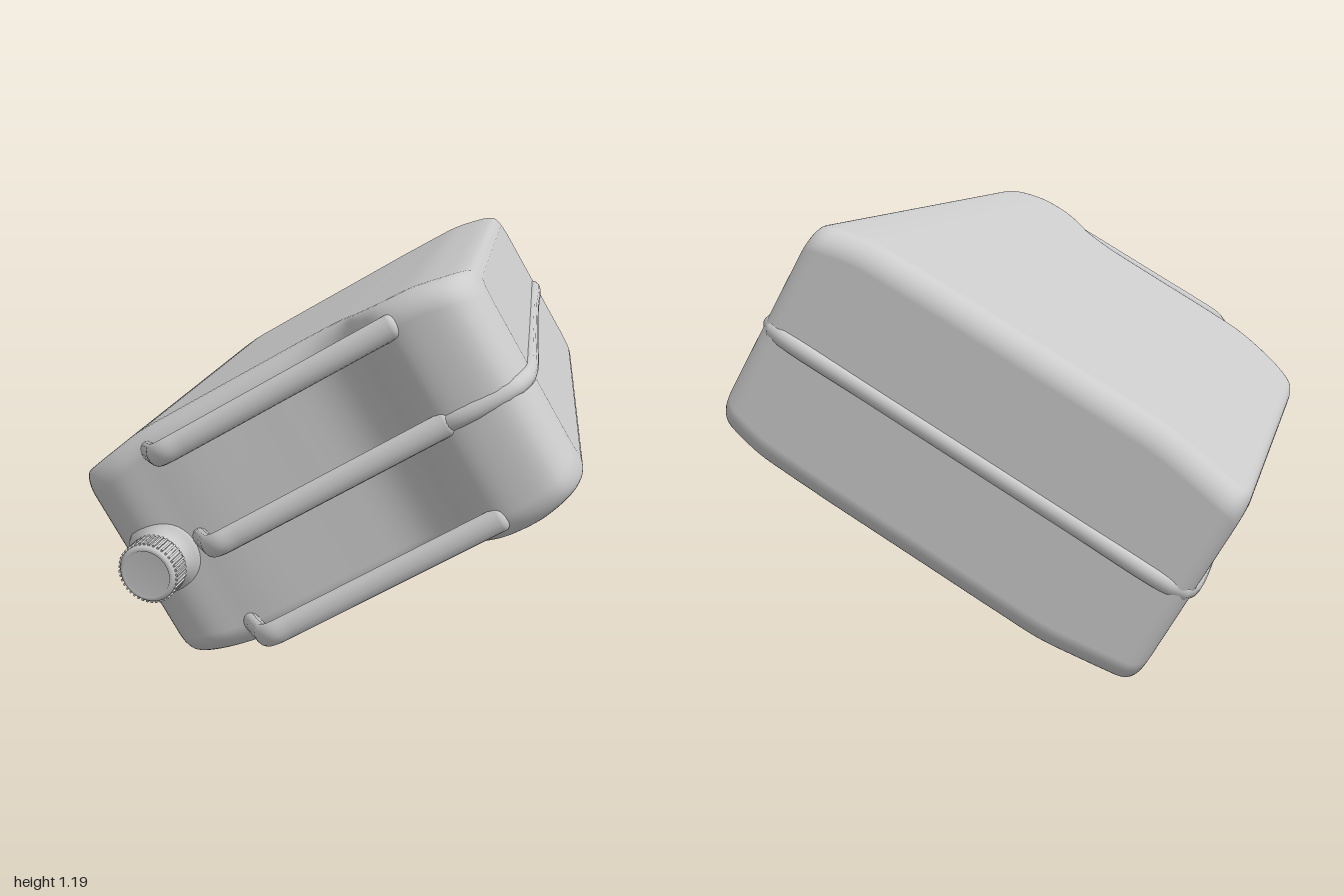
import * as THREE from 'three';

const material = new THREE.MeshStandardMaterial({ color: 0xcccccc });
const V = (x, y, z) => new THREE.Vector3(x, y, z);

function add(parent, name, geometry) {
  const mesh = new THREE.Mesh(geometry, material);
  mesh.name = name;
  parent.add(mesh);
  return mesh;
}

// Stations along the can's height: x, half thickness, front z
const STATIONS = [
  [-0.675, 0.27, 0.46], [-0.668, 0.292, 0.54], [-0.65, 0.308, 0.61], [-0.605, 0.317, 0.685],
  [-0.52, 0.331, 0.733], [-0.4, 0.348, 0.752], [-0.28, 0.35, 0.765], [0.0, 0.35, 0.775],
  [0.185, 0.35, 0.79], [0.29, 0.35, 0.838], [0.35, 0.349, 0.91], [0.42, 0.348, 0.968],
  [0.52, 0.344, 0.987], [0.6, 0.328, 0.98], [0.64, 0.316, 0.95], [0.665, 0.3, 0.9], [0.675, 0.27, 0.85],
];

// Rounded rectangle in y and z, counter-clockwise about +x
function section(x, half, back, front, radius, scale) {
  const points = [], mid = (back + front) / 2, depth = (front - back) / 2;
  const corners = [[1, 1], [-1, 1], [-1, -1], [1, -1]];
  corners.forEach(([sy, sz], q) => {
    for (let k = 0; k <= 8; k++) {
      const a = (q + k / 8) * Math.PI / 2;
      const y = sy * (half - radius) + radius * Math.cos(a);
      const z = sz * (depth - radius) + radius * Math.sin(a);
      points.push(V(x, y * scale, mid + z * scale));
    }
  });
  return points;
}

function bodyGeometry() {
  const curve = new THREE.CatmullRomCurve3(STATIONS.map(s => V(...s)));
  const rows = [], steps = 80, R = 0.06;
  for (let i = 0; i <= steps; i++) {
    const p = curve.getPoint(i / steps);
    const d = Math.min(R, Math.max(0, Math.abs(p.x) - (0.675 - R)));
    const back = -0.985 + R - Math.sqrt(R * R - d * d);
    const ring = s => section(p.x, p.y, back, p.z, 0.07, s);
    if (i === 0) rows.push(ring(0), ring(0.96));
    rows.push(ring(1));
    if (i === steps) rows.push(ring(0.96), ring(0));
  }
  const n = rows[0].length, index = [];
  for (let i = 0; i < rows.length - 1; i++) {
    for (let j = 0; j < n; j++) {
      const k = (j + 1) % n;
      const a = i * n + j, b = a + n, c = (i + 1) * n + k, d = i * n + k;
      index.push(a, d, c, a, c, b);
    }
  }
  const geometry = new THREE.BufferGeometry().setFromPoints(rows.flat());
  geometry.setIndex(index);
  geometry.computeVertexNormals();
  return geometry;
}

// Oval tube through [x, z] points, with hemispherical ends
function ovalTube(parent, name, points, radius, widen, y) {
  const group = new THREE.Group();
  group.name = name;
  group.position.y = y;
  group.scale.y = widen;
  const path = points.map(([x, z]) => V(x, 0, z));
  const curve = new THREE.CatmullRomCurve3(path);
  add(group, name + 'Tube', new THREE.TubeGeometry(curve, 120, radius, 14));
  for (const end of [path[0], path[path.length - 1]]) {
    add(group, name + 'End', new THREE.SphereGeometry(radius, 14, 10)).position.copy(end);
  }
  parent.add(group);
}

// Screw cap with neck, ribbed edge and rounded rim
function buildCap() {
  const cap = new THREE.Group();
  cap.name = 'cap';
  const neck = [[0.125, -0.06], [0.12, -0.015], [0.1, 0.0], [0.078, 0.02], [0.074, 0.055]];
  add(cap, 'neck', new THREE.LatheGeometry(neck.map(p => new THREE.Vector2(...p)), 40))
    .material = new THREE.MeshStandardMaterial({ color: 0xcccccc, side: THREE.DoubleSide });
  const lid = [[0, 0.04], [0.084, 0.04], [0.086, 0.048], [0.086, 0.108], [0.08, 0.116],
    [0.07, 0.118], [0.068, 0.114], [0, 0.114]];
  add(cap, 'lid', new THREE.LatheGeometry(lid.map(p => new THREE.Vector2(...p)), 40));
  const ribs = 40;
  for (let i = 0; i < ribs; i++) {
    const a = i / ribs * Math.PI * 2;
    const rib = add(cap, 'capRib', new THREE.BoxGeometry(0.01, 0.062, 0.006));
    rib.position.set(0.086 * Math.cos(a), 0.078, 0.086 * Math.sin(a));
    rib.rotation.y = -a;
  }
  cap.rotation.set(Math.PI / 2, 0, 0.2);
  cap.position.set(-0.51, 0, 0.738);
  return cap;
}

export function createModel() {
  const model = new THREE.Group();
  model.name = 'fuelCan';

  // The can lies on one lower edge, tilted by 30 degrees
  const can = new THREE.Group();
  can.name = 'can';
  can.rotation.z = Math.PI / 6;
  can.position.y = 0.605;
  model.add(can);

  add(can, 'body', bodyGeometry());

  // Weld seam round the middle
  ovalTube(can, 'seam', [
    [-0.655, 0.59], [-0.668, 0.48], [-0.668, 0.3], [-0.668, -0.3], [-0.668, -0.9], [-0.65, -0.955], [-0.6, -0.977],
    [-0.3, -0.979], [0.3, -0.979], [0.6, -0.977], [0.65, -0.955], [0.668, -0.9], [0.668, -0.3],
    [0.668, 0.3], [0.668, 0.83], [0.655, 0.91], [0.62, 0.958], [0.53, 0.978], [0.45, 0.97], [0.4, 0.945],
  ], 0.02, 1.25, 0);

  // Three carrying handles
  for (const y of [-0.285, 0, 0.285]) {
    ovalTube(can, 'handle', [
      [-0.39, 0.72], [-0.31, 0.9], [-0.29, 0.94], [-0.26, 0.96], [-0.2, 0.963], [0.1, 0.963], [0.43, 0.963],
    ], 0.024, 1.4, y);
  }

  can.add(buildCap());

  // Embossed cross on the lower face: four arms that stop short of the centre
  const centre = V(-0.06, -0.343, -0.25);
  for (const [x, z] of [[0.43, 0.35], [-0.42, -0.72], [0.35, -0.78], [-0.48, 0.32]]) {
    const end = V(x, -0.343, z);
    const dir = end.clone().sub(centre).normalize();
    const start = centre.clone().addScaledVector(dir, 0.08);
    const holder = new THREE.Group();
    holder.name = 'crossArm';
    holder.position.copy(start).add(end).multiplyScalar(0.5);
    holder.scale.y = 0.75;
    const arm = add(holder, 'crossRib', new THREE.CapsuleGeometry(0.019, start.distanceTo(end), 6, 12));
    arm.quaternion.setFromUnitVectors(V(0, 1, 0), dir);
    can.add(holder);
  }
  return model;
}
